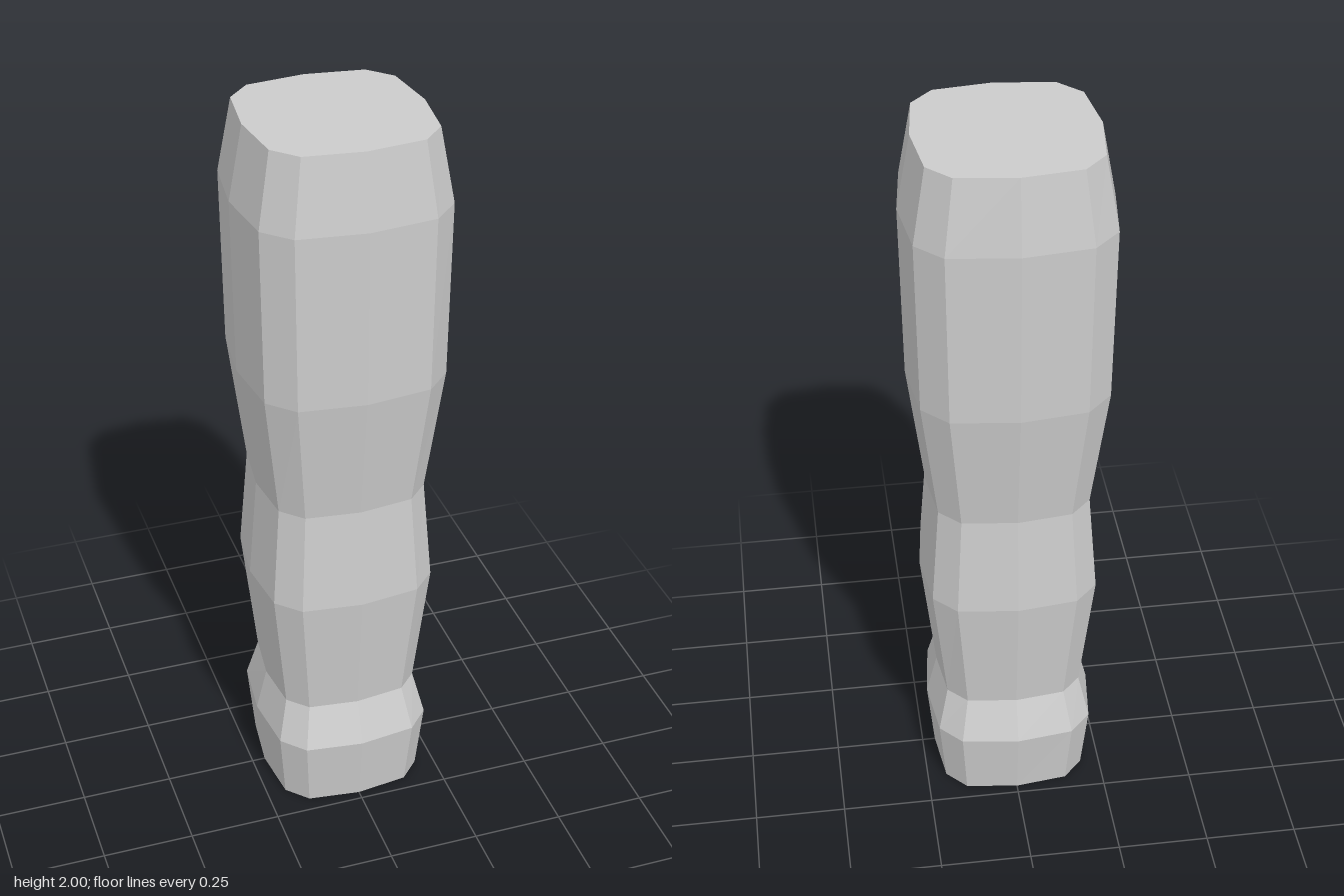
import * as THREE from 'three';

// Rings from bottom to top: [height, half width in x, half depth in z]
const RINGS = [
  [0, 0.214, 0.225],
  [0.2, 0.233, 0.249],
  [0.32, 0.203, 0.207],
  [0.965, 0.22, 0.222],
  [0.68, 0.243, 0.243],
  [1.32, 0.265, 0.268],
  [1.8, 0.272, 0.272],
  [2, 0.235, 0.245],
].sort((a, b) => a[0] - b[0]);

// Turns a coordinate on the unit 12-gon into one on a bowed square with cut corners
function squareOff(v) {
  const a = Math.abs(v);
  const r = a > 0.95 ? 1 : a > 0.7 ? 0.919 : a > 0.2 ? 0.667 : 0;
  return Math.sign(v) * r;
}

function gripGeometry() {
  const steps = RINGS.length - 1;
  const geometry = new THREE.CylinderGeometry(1, 1, steps, 12, steps);
  const pos = geometry.attributes.position;
  for (let i = 0; i < pos.count; i++) {
    const [y, hx, hz] = RINGS[Math.round(pos.getY(i) + steps / 2)];
    pos.setXYZ(i, squareOff(pos.getX(i)) * hx, y, squareOff(pos.getZ(i)) * hz);
  }
  const flat = geometry.toNonIndexed();
  flat.computeVertexNormals();
  return flat;
}

export function createModel() {
  const model = new THREE.Group();
  model.name = 'handle';

  // Contoured grip with a flared butt and closed ends
  const material = new THREE.MeshStandardMaterial({ color: 0xcccccc, flatShading: true });
  const grip = new THREE.Mesh(gripGeometry(), material);
  grip.name = 'grip';
  model.add(grip);

  return model;
}
